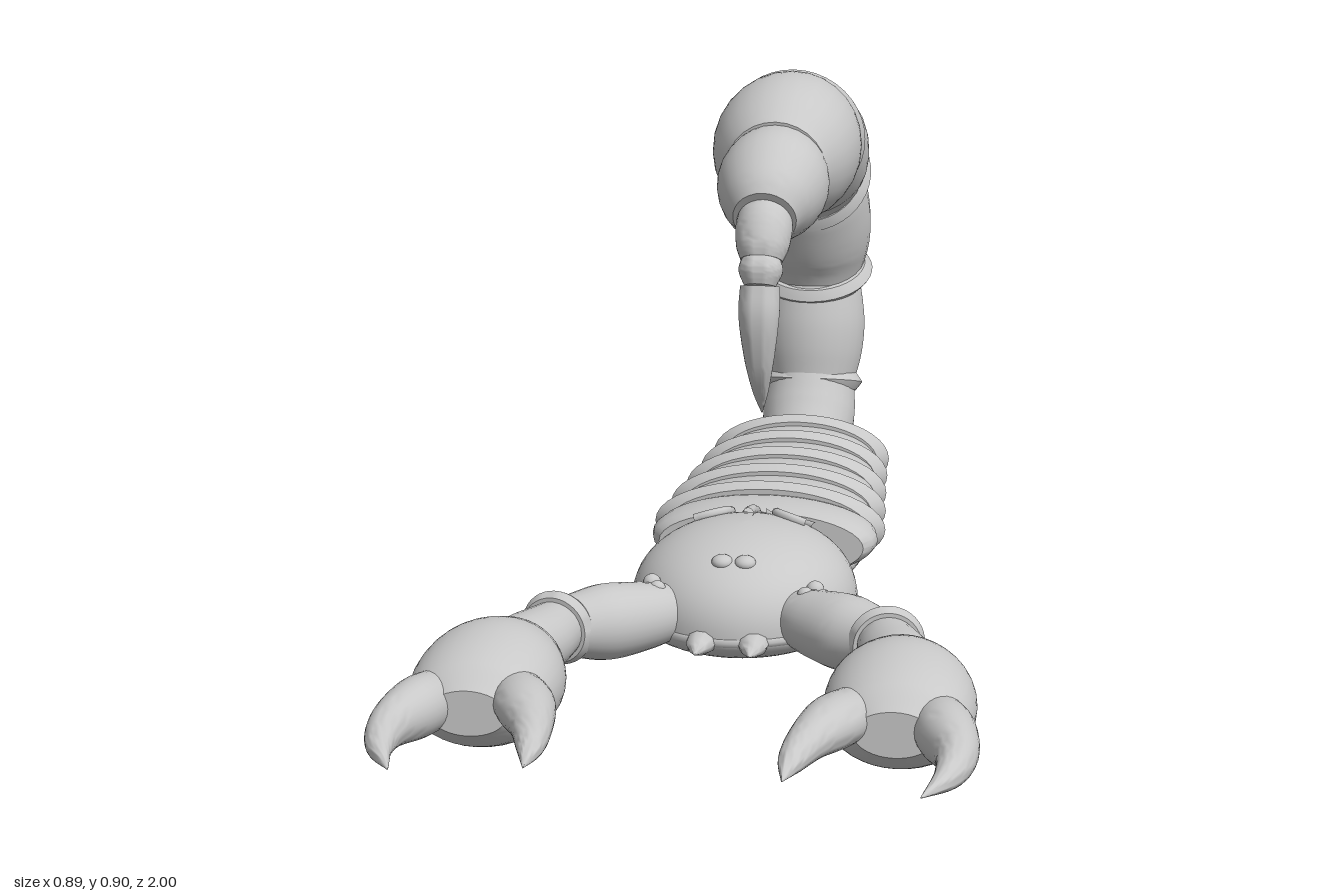
import * as THREE from 'three';
import { toCreasedNormals } from 'three/addons/utils/BufferGeometryUtils.js';

const shell = new THREE.MeshStandardMaterial({ color: 0xc8c8c8 });
shell.name = 'shell grey';
const X = new THREE.Vector3(1, 0, 0);
const Y = new THREE.Vector3(0, 1, 0);

function add(parent, name, geometry, position = [0, 0, 0]) {
  const mesh = new THREE.Mesh(geometry, shell);
  mesh.name = name;
  mesh.position.set(...position);
  parent.add(mesh);
  return mesh;
}

// Closed elliptical skin through stations [x, y, z, radius along ref, other radius]
function loft(stations, ref, rows = 20, sides = 28) {
  const path = new THREE.CatmullRomCurve3(stations.map(s => new THREE.Vector3(s[0], s[1], s[2])));
  const size = new THREE.CatmullRomCurve3(
    stations.map(s => new THREE.Vector3(s[3], s[4] ?? s[3], 0)), false, 'catmullrom', 0.5);
  const pos = [], index = [];
  for (let i = -1; i <= rows + 1; i++) {
    const t = Math.min(Math.max(i / rows, 0), 1);
    const p = path.getPoint(t), r = size.getPoint(t), T = path.getTangent(t);
    const B = new THREE.Vector3().crossVectors(T, ref).normalize();
    const A = new THREE.Vector3().crossVectors(B, T);
    const k = i < 0 || i > rows ? 0 : 1;
    for (let j = 0; j < sides; j++) {
      const a = j / sides * Math.PI * 2;
      const v = p.clone().addScaledVector(A, Math.cos(a) * r.x * k).addScaledVector(B, Math.sin(a) * r.y * k);
      pos.push(v.x, v.y, v.z);
    }
  }
  for (let i = 0; i < rows + 2; i++) for (let j = 0; j < sides; j++) {
    const a = i * sides + j, b = i * sides + (j + 1) % sides;
    index.push(a, b, a + sides, b, b + sides, a + sides);
  }
  const g = new THREE.BufferGeometry();
  g.setAttribute('position', new THREE.Float32BufferAttribute(pos, 3));
  g.setIndex(index);
  return toCreasedNormals(g, 0.75);
}

// Turned disc of unit radius and length, from [radius, height] points
function turned(points, rx, length, rz) {
  const g = new THREE.LatheGeometry(points.map(p => new THREE.Vector2(...p)), 40);
  return toCreasedNormals(g.scale(rx, length, rz), 0.5);
}
const ridge = [[0, -0.5], [0.88, -0.5], [0.97, -0.15], [1, 0], [0.97, 0.15], [0.88, 0.5], [0, 0.5]];
const drum = [[0, -0.5], [0.9, -0.5], [0.97, -0.3], [1, 0], [0.97, 0.3], [0.9, 0.5], [0, 0.5]];

// Height of the head shield above its rim
const domeY = (x, z) => 0.095 + 0.143 * Math.pow(Math.max(0, 1 - (x / 0.19) ** 2 - ((z - 0.07) / 0.212) ** 2), 0.42);

function buildBody(root) {
  const body = new THREE.Group();
  body.name = 'body';
  root.add(body);

  // Head shield: domed above, shallower below
  const head = new THREE.SphereGeometry(1, 48, 32);
  const p = head.attributes.position;
  for (let i = 0; i < p.count; i++) {
    const y = p.getY(i);
    p.setXYZ(i, p.getX(i) * 0.19, y > 0 ? 0.143 * Math.pow(y, 0.84) : y * 0.065, p.getZ(i) * 0.212);
  }
  head.computeVertexNormals();
  add(body, 'headShield', head, [0, 0.095, 0.07]);
  add(body, 'headRim', new THREE.TorusGeometry(1, 0.045, 8, 48).rotateX(Math.PI / 2).scale(0.184, 0.22, 0.205), [0, 0.095, 0.07]);

  // Belly plate
  const belly = new THREE.SphereGeometry(1, 48, 24);
  const q = belly.attributes.position;
  for (let i = 0; i < q.count; i++) {
    const y = q.getY(i);
    q.setXYZ(i, q.getX(i) * 0.165, y * (y > 0 ? 0.03 : 0.06), q.getZ(i) * 0.395);
  }
  belly.computeVertexNormals();
  add(body, 'bellyPlate', belly, [0, 0.068, -0.375]).rotation.x = -0.03;

  // Back segments alternating with sharp ridges
  const segments = [[-0.18, 0.2], [-0.303, 0.178], [-0.418, 0.172], [-0.53, 0.162], [-0.643, 0.152], [-0.72, 0.135]];
  segments.forEach(([z, w], i) =>
    add(body, 'backSegment', turned(drum, w, i === 5 ? 0.06 : 0.11, 0.066).rotateX(Math.PI / 2), [0, 0.135, z]));
  [0.207, 0.197, 0.187, 0.178, 0.17].forEach((w, i) =>
    add(body, 'backRidge', turned(ridge, w, 0.042, 0.082).rotateX(Math.PI / 2), [0, 0.134, -0.245 - i * 0.1137]));
}

function buildTail(root) {
  const tail = new THREE.Group();
  tail.name = 'tail';
  root.add(tail);
  const part = (name, stations, rows) => add(tail, name, loft(stations, X, rows));
  part('tailSegment', [[0, 0.1, -0.7, 0.06], [0, 0.135, -0.765, 0.08], [0, 0.185, -0.82, 0.09], [0, 0.25, -0.855, 0.085]]);
  part('tailSegment', [[0, 0.24, -0.855, 0.084], [0, 0.3, -0.87, 0.098], [0, 0.36, -0.881, 0.102], [0, 0.42, -0.888, 0.095], [0, 0.46, -0.892, 0.085]]);
  part('tailSegment', [[0, 0.45, -0.893, 0.09], [0, 0.51, -0.883, 0.108], [0, 0.567, -0.862, 0.114], [0, 0.625, -0.83, 0.11], [0, 0.668, -0.8, 0.1]]);
  part('tailSegment', [[0, 0.655, -0.81, 0.1], [0, 0.7, -0.765, 0.118], [0, 0.735, -0.71, 0.124], [0, 0.762, -0.645, 0.121], [0, 0.775, -0.585, 0.112]]);
  part('tailSegment', [[0, 0.775, -0.6, 0.115], [0, 0.777, -0.54, 0.128], [0, 0.775, -0.466, 0.133], [0, 0.768, -0.39, 0.12], [0, 0.76, -0.32, 0.09]]);
  part('tailSegment', [[0, 0.758, -0.36, 0.085], [0, 0.748, -0.3, 0.097], [0, 0.738, -0.255, 0.095], [0, 0.722, -0.205, 0.078], [0, 0.705, -0.17, 0.055]]);
  part('stingerNeck', [[0, 0.715, -0.19, 0.045], [0, 0.69, -0.165, 0.049], [0, 0.66, -0.143, 0.045], [0, 0.64, -0.132, 0.036]]);
  part('stingerNeck', [[0, 0.65, -0.137, 0.03], [0, 0.625, -0.122, 0.038], [0, 0.6, -0.112, 0.027]]);
  part('stinger', [[0, 0.6, -0.113, 0.034, 0.036], [0, 0.55, -0.1, 0.035, 0.034], [0, 0.47, -0.106, 0.025], [0, 0.41, -0.123, 0.013], [0, 0.37, -0.141, 0.001]]);
  // Joint rings: centre y, z, axis y, z, radius
  const rings = [[0.245, -0.855, 0.96, -0.29, 0.101], [0.46, -0.893, 0.93, 0.36, 0.115],
    [0.668, -0.8, 0.54, 0.84, 0.12], [0.775, -0.585, -0.15, 0.99, 0.13]];
  for (const [y, z, ay, az, r] of rings) {
    const ring = add(tail, 'tailRing', turned(ridge, r, 0.034, r * (r < 0.11 ? 0.88 : 1)), [0, y, z]);
    ring.quaternion.setFromUnitVectors(Y, new THREE.Vector3(0, ay, az).normalize());
  }
}

function buildClaw(root, s) {
  const claw = new THREE.Group();
  claw.name = s > 0 ? 'leftClaw' : 'rightClaw';
  root.add(claw);
  const part = (name, stations, rows, sides) =>
    add(claw, name, loft(stations.map(([x, ...rest]) => [x * s, ...rest]), Y, rows, sides));
  part('upperArm', [[0.1, 0.12, 0.2, 0.045], [0.145, 0.123, 0.245, 0.056], [0.2, 0.126, 0.29, 0.062], [0.25, 0.13, 0.33, 0.05]]);
  const elbow = add(claw, 'elbowRing', turned(ridge, 0.062, 0.03, 0.062), [0.265 * s, 0.132, 0.345]);
  elbow.quaternion.setFromUnitVectors(Y, new THREE.Vector3(0.22 * s, 0, 0.97).normalize());
  part('wrist', [[0.262, 0.132, 0.335, 0.045], [0.28, 0.132, 0.4, 0.052, 0.056], [0.298, 0.133, 0.46, 0.056, 0.06], [0.305, 0.134, 0.5, 0.05, 0.055]]);
  part('hand', [[0.302, 0.133, 0.465, 0.05, 0.055], [0.306, 0.135, 0.52, 0.074, 0.088], [0.311, 0.137, 0.59, 0.09, 0.111],
    [0.315, 0.137, 0.66, 0.085, 0.113], [0.316, 0.138, 0.72, 0.066, 0.097], [0.316, 0.139, 0.76, 0.035, 0.06]], 30, 36);
  part('outerFinger', [[0.372, 0.142, 0.69, 0.04, 0.042], [0.392, 0.145, 0.76, 0.046, 0.045], [0.412, 0.146, 0.84, 0.034, 0.032],
    [0.406, 0.145, 0.92, 0.02, 0.02], [0.375, 0.142, 0.995, 0.001]]);
  part('innerFinger', [[0.256, 0.15, 0.69, 0.036, 0.042], [0.228, 0.155, 0.76, 0.04, 0.045], [0.202, 0.157, 0.84, 0.03, 0.032],
    [0.187, 0.156, 0.92, 0.019, 0.02], [0.182, 0.153, 0.99, 0.001]]);
}

function buildFace(root, s) {
  const face = new THREE.Group();
  face.name = s > 0 ? 'leftFaceDetails' : 'rightFaceDetails';
  root.add(face);
  const eye = (name, r, x, y, z) => add(face, name, new THREE.SphereGeometry(r, 16, 12), [x * s, y, z]);
  eye('middleEye', 0.018, 0.019, 0.207, 0.2).scale.y = 0.7;
  eye('sideEye', 0.015, 0.135, 0.168, 0.205);
  eye('sideEye', 0.014, 0.122, 0.166, 0.23);
  eye('sideEye', 0.014, 0.152, 0.165, 0.235);
  // Fang
  add(face, 'fang', loft([[0.036 * s, 0.095, 0.23, 0.024, 0.02], [0.043 * s, 0.093, 0.28, 0.024, 0.019], [0.044 * s, 0.094, 0.337, 0.001]], X, 10, 10));
  // Raised curls on the shield
  const curls = [[[0.11, -0.09], [0.07, -0.09], [0.042, -0.055], [0.045, -0.01], [0.07, 0.01], [0.095, 0.012]],
    [[0.012, -0.06], [0.03, -0.1], [0.065, -0.112]], [[0.055, -0.085], [0.09, -0.062], [0.105, -0.045]]];
  for (const c of curls) {
    const pts = c.map(([x, z]) => new THREE.Vector3(x * s, domeY(x, z) + 0.004, z));
    add(face, 'shieldCurl', new THREE.TubeGeometry(new THREE.CatmullRomCurve3(pts), 20, 0.008, 8));
  }
}

export function createModel() {
  const root = new THREE.Group();
  root.name = 'scorpion';
  buildBody(root);
  buildTail(root);
  for (const s of [1, -1]) {
    buildClaw(root, s);
    buildFace(root, s);
  }
  // Central ridge of the shield
  const mid = [-0.11, -0.06, -0.01, 0.03].map(z => new THREE.Vector3(0, domeY(0, z) + 0.004, z));
  add(root, 'shieldMidRidge', new THREE.TubeGeometry(new THREE.CatmullRomCurve3(mid), 20, 0.009, 8));
  return root;
}
